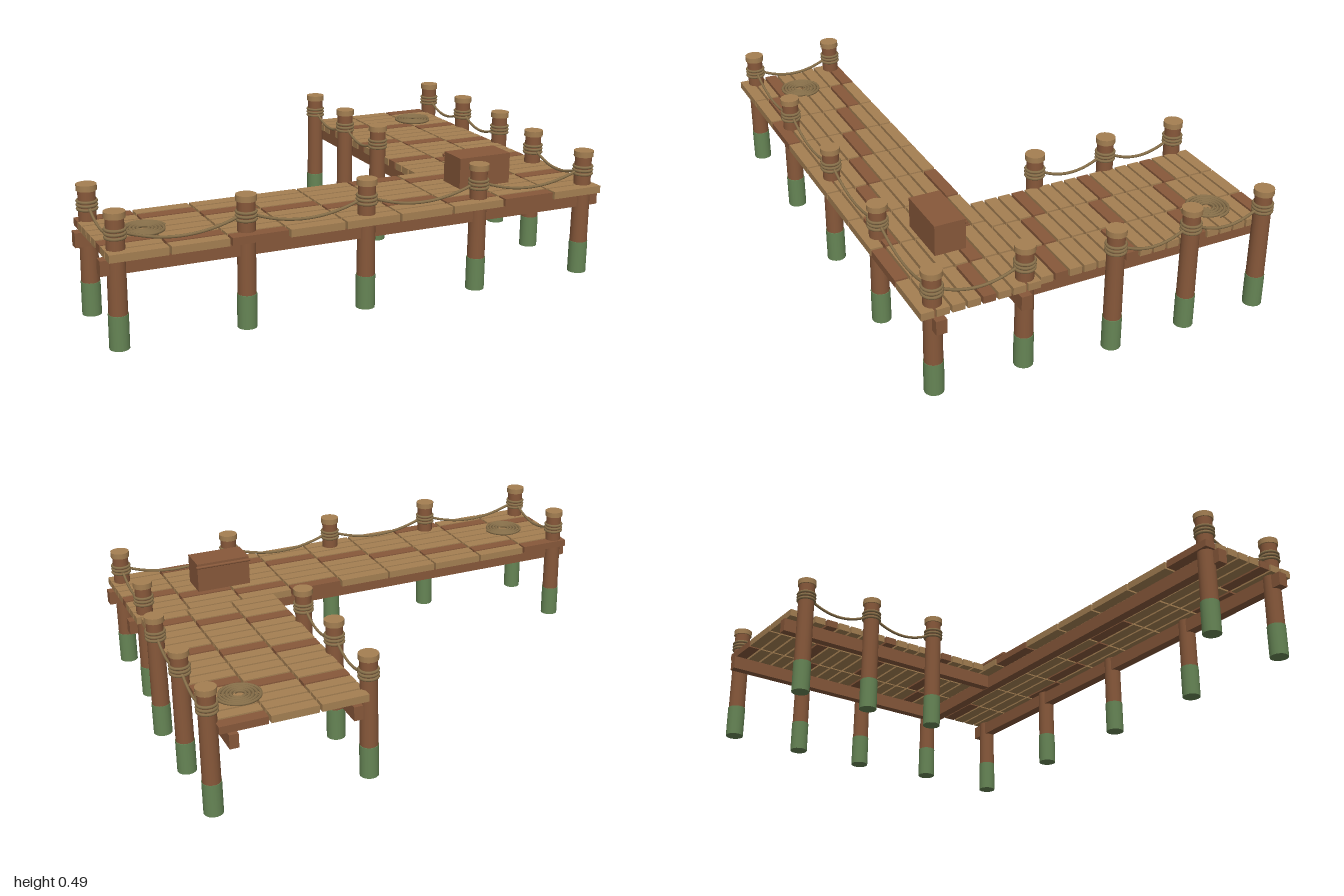
import * as THREE from 'three';

function material(name, color) {
  const m = new THREE.MeshStandardMaterial({ color });
  m.name = name;
  return m;
}

export function createModel() {
  const dock = new THREE.Group();
  dock.name = 'dock';

  const lightWood = material('lightWood', 0xa47f52);
  const darkWood = material('darkWood', 0x87583a);
  const moss = material('moss', 0x668555);
  const ropeColor = material('rope', 0x88704a);

  function add(parent, name, geometry, mat, x = 0, y = 0, z = 0) {
    const mesh = new THREE.Mesh(geometry, mat);
    mesh.name = name;
    mesh.position.set(x, y, z);
    parent.add(mesh);
    return mesh;
  }

  // Planks: a grid of boards, with every fifth diagonal darker
  function deck(name, columns, rows, x0, pitchX, z0, shift) {
    const group = new THREE.Group();
    group.name = name;
    const board = new THREE.BoxGeometry(pitchX - 0.009, 0.028, 0.047);
    for (let r = 0; r < rows; r++) {
      for (let c = 0; c < columns; c++) {
        const dark = (r - c + 10 - shift) % 5 === 0;
        add(group, 'plank', board, dark ? darkWood : lightWood,
          x0 + pitchX * (c + 0.5), 0.341, z0 + r * 0.0559);
      }
    }
    dock.add(group);
  }
  deck('mainDeck', 9, 8, -0.985, 0.2162, 0.284, 0);
  deck('wingDeck', 3, 17, 0.392, 0.1842, -0.666, 3);

  // Long beams under the boards
  for (const z of [0.323, 0.635]) {
    add(dock, 'mainBeam', new THREE.BoxGeometry(1.976, 0.054, 0.04), darkWood, -0.012, 0.296, z);
  }
  for (const x of [0.442, 0.893]) {
    add(dock, 'wingBeam', new THREE.BoxGeometry(0.034, 0.054, 1.0), darkWood, x, 0.296, -0.2);
  }

  // Piles with mossy foot, light cap and three rope rings
  const shaft = new THREE.CylinderGeometry(0.032, 0.034, 0.468, 16);
  const foot = new THREE.CylinderGeometry(0.0355, 0.0355, 0.125, 16);
  const cap = new THREE.CylinderGeometry(0.0375, 0.0375, 0.022, 16);
  const ring = new THREE.TorusGeometry(0.0345, 0.0055, 6, 20).rotateX(Math.PI / 2);
  function pile(x, z) {
    const group = new THREE.Group();
    group.name = 'pile';
    group.position.set(x, 0, z);
    add(group, 'shaft', shaft, darkWood, 0, 0.236, 0);
    add(group, 'mossyFoot', foot, moss, 0, 0.0625, 0);
    add(group, 'cap', cap, lightWood, 0, 0.475, 0);
    for (const y of [0.397, 0.411, 0.425]) add(group, 'ropeRing', ring, ropeColor, 0, y, 0);
    dock.add(group);
  }

  // Sagging rope between two neighbouring piles
  function rope([x1, z1], [x2, z2]) {
    const points = [];
    for (let i = 0; i <= 8; i++) {
      const t = i / 8;
      points.push(new THREE.Vector3(
        x1 + (x2 - x1) * t, 0.42 - 0.052 * 4 * t * (1 - t), z1 + (z2 - z1) * t));
    }
    add(dock, 'rope', new THREE.TubeGeometry(new THREE.CatmullRomCurve3(points), 24, 0.0055, 6), ropeColor);
  }

  // Each run is a row of piles joined by ropes
  const runs = [
    [[-0.94, 0.3], [-0.94, 0.64], [-0.475, 0.64], [-0.013, 0.64], [0.45, 0.64], [0.913, 0.64], [0.913, 0.3]],
    [[0.375, -0.025], [0.375, -0.33], [0.375, -0.635]],
    [[0.96, -0.025], [0.96, -0.33], [0.96, -0.635]],
  ];
  for (const run of runs) {
    run.forEach((p, i) => {
      pile(p[0], p[1]);
      if (i > 0) rope(run[i - 1], p);
    });
  }

  // Flat coils of rope lying on the boards
  const spiral = [];
  for (let i = 0; i <= 72; i++) {
    const a = (i / 72) * Math.PI * 10;
    const r = 0.016 + 0.065 * (i / 72);
    spiral.push(new THREE.Vector3(Math.cos(a) * r, 0, Math.sin(a) * r));
  }
  const coil = new THREE.TubeGeometry(new THREE.CatmullRomCurve3(spiral), 200, 0.006, 6);
  add(dock, 'ropeCoil', coil, ropeColor, -0.795, 0.361, 0.493);
  add(dock, 'ropeCoil', coil, ropeColor, 0.805, 0.361, -0.505);

  // Crate with a hinge rod at the back
  add(dock, 'crate', new THREE.BoxGeometry(0.218, 0.118, 0.119), darkWood, 0.553, 0.414, 0.457);
  const rod = new THREE.CylinderGeometry(0.006, 0.006, 0.228, 8).rotateZ(Math.PI / 2);
  add(dock, 'crateHinge', rod, darkWood, 0.553, 0.459, 0.395);

  return dock;
}
